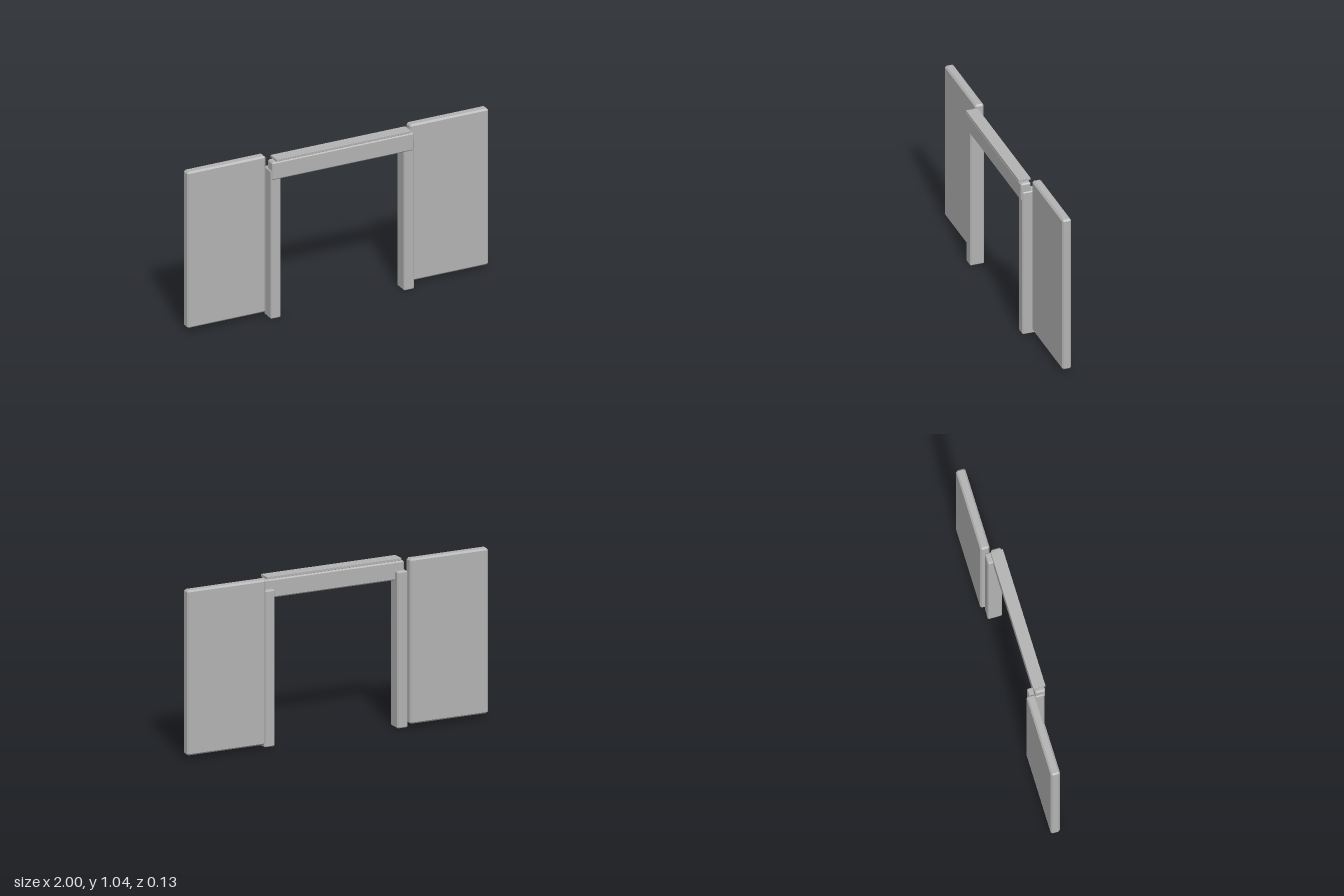
import * as THREE from 'three';
import { ConvexGeometry } from 'three/addons/geometries/ConvexGeometry.js';

// Box between two corners with every edge chamfered by c
function chamferBox([x0, y0, z0], [x1, y1, z1], c) {
  const half = [(x1 - x0) / 2, (y1 - y0) / 2, (z1 - z0) / 2];
  const points = [];
  for (const sx of [-1, 1]) for (const sy of [-1, 1]) for (const sz of [-1, 1]) {
    for (let axis = 0; axis < 3; axis++) {
      const p = half.map((h, i) => (i === axis ? h : h - c));
      points.push(new THREE.Vector3(sx * p[0], sy * p[1], sz * p[2]));
    }
  }
  const geometry = new ConvexGeometry(points);
  geometry.translate((x0 + x1) / 2, (y0 + y1) / 2, (z0 + z1) / 2);
  return geometry;
}

export function createModel() {
  const group = new THREE.Group();
  group.name = 'doorFrameWithSidePanels';

  const grey = new THREE.MeshStandardMaterial({ color: 0xb2b2b2 });
  grey.name = 'plainGrey';

  const add = (name, from, to, chamfer) => {
    const mesh = new THREE.Mesh(chamferBox(from, to, chamfer), grey);
    mesh.name = name;
    group.add(mesh);
  };

  // Wall panels and posts, mirrored left and right
  for (const [side, s] of [['left', 1], ['right', -1]]) {
    const pair = (name, [xa, ya, za], [xb, yb, zb], c) => add(
      side + name,
      [Math.min(s * xa, s * xb), ya, za],
      [Math.max(s * xa, s * xb), yb, zb], c);
    pair('WallPanel', [0.479, 0.024, -0.063], [1, 1.038, -0.006], 0.01);
    pair('Post', [0.408, 0, -0.038], [0.476, 0.962, 0.051], 0.006);
  }

  // Beam across the posts and the thin cap above it
  add('lintel', [-0.47, 0.903, -0.005], [0.47, 1.018, 0.059], 0.008);
  add('lintelCap', [-0.447, 1.022, -0.01], [0.447, 1.038, 0.065], 0.001);

  return group;
}
